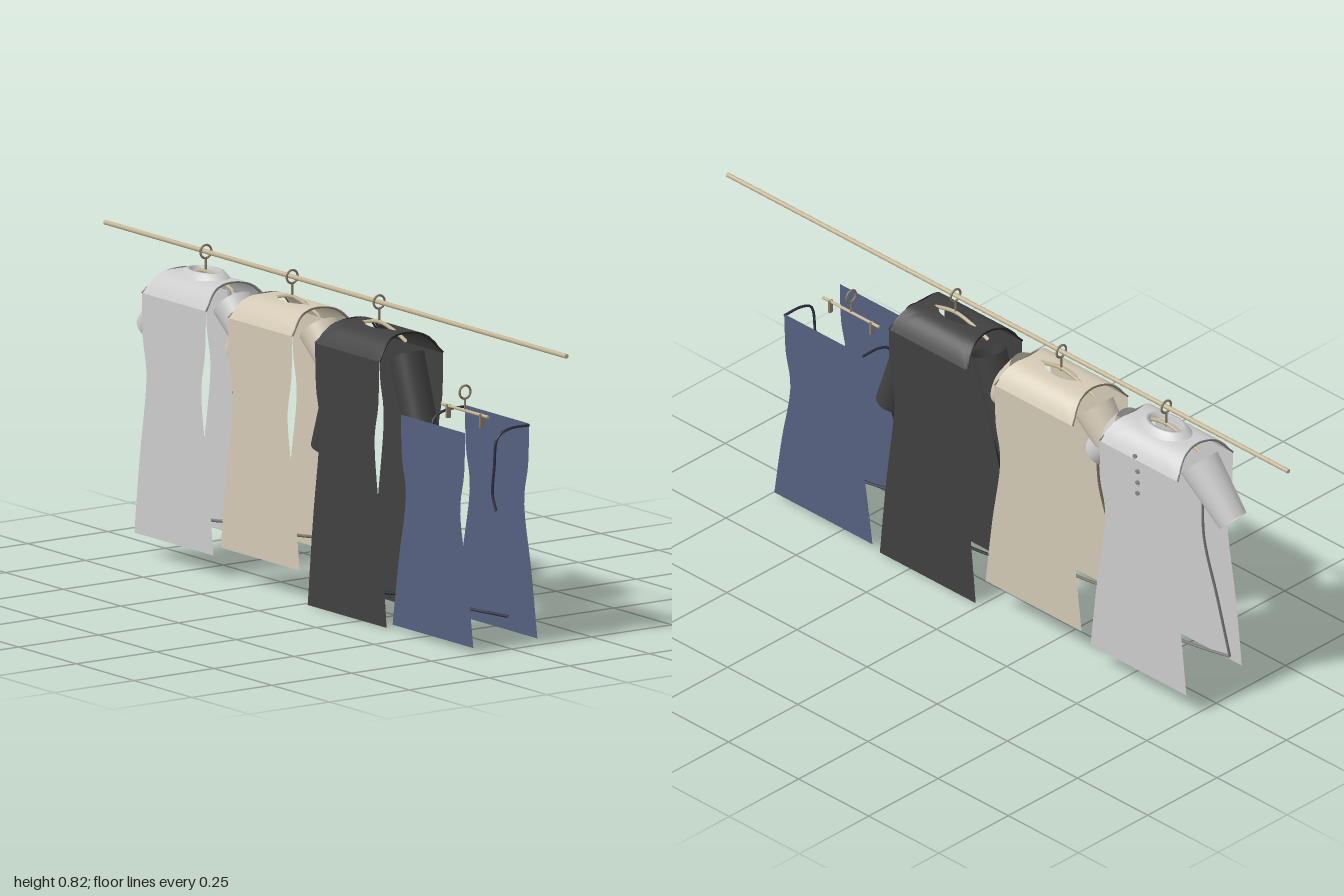
import * as THREE from 'three';

const V = (x, y, z) => new THREE.Vector3(x, y, z);
const FRONT = 0.108, BACK = -0.092, MID = 0.008;
const mat = (color) => new THREE.MeshStandardMaterial({ color, side: THREE.DoubleSide });
const wood = mat(0xc4b494), metal = mat(0x8a7d66);

function add(parent, name, geo, material, x = 0, y = 0, z = 0) {
  const m = new THREE.Mesh(geo, material);
  m.name = name;
  m.position.set(x, y, z);
  parent.add(m);
  return m;
}

function tube(points, r) {
  return new THREE.TubeGeometry(new THREE.CatmullRomCurve3(points), 32, r, 6);
}

// Flat body panel: straight top and hem, sides drawn in at the waist
function panelGeo(top, hem, waist, topHalf, waistHalf, hemHalf) {
  const side = [
    [topHalf, top], [topHalf - 0.004, top - (top - waist) * 0.5], [waistHalf, waist],
    [waistHalf + (hemHalf - waistHalf) * 0.55, waist + (hem - waist) * 0.5], [hemHalf, hem],
  ].map(([x, y]) => new THREE.Vector2(x, y));
  const right = new THREE.SplineCurve(side).getPoints(20);
  const left = right.map((p) => new THREE.Vector2(-p.x, p.y)).reverse();
  return new THREE.ShapeGeometry(new THREE.Shape([...right, ...left]));
}

// Yoke: saddle over the shoulders, lofted from an oval neck hole to a waisted rectangle
function yokeGeo() {
  const N = 64, R = 12, pos = [], idx = [];
  for (let j = 0; j <= R; j++) {
    const t = j / R;
    for (let i = 0; i <= N; i++) {
      const a = (i / N) * Math.PI * 2, c = Math.cos(a), s = Math.sin(a);
      const k = 1 / Math.max(Math.abs(c), Math.abs(s));
      const z = THREE.MathUtils.lerp(0.024 * s, 0.1 * s * k, t);
      const half = 0.112 + 0.027 * (z / 0.1) ** 2;
      const x = THREE.MathUtils.lerp(0.055 * c, half * c * k, t);
      pos.push(x, 0.742 - 0.06 * (Math.abs(z) / 0.1) ** 3.5, z + MID);
    }
  }
  for (let j = 0; j < R; j++) {
    for (let i = 0; i < N; i++) {
      const a = j * (N + 1) + i, b = a + N + 1;
      idx.push(a, a + 1, b, a + 1, b + 1, b);
    }
  }
  const g = new THREE.BufferGeometry();
  g.setAttribute('position', new THREE.Float32BufferAttribute(pos, 3));
  g.setIndex(idx);
  g.computeVertexNormals();
  return g;
}

// Open tapered sleeve between two points
function addSleeve(parent, side, end, r0, r1, material) {
  const a = V(side * 0.118, 0.688, MID), b = V(side * end[0], end[1], MID);
  const dir = b.clone().sub(a);
  const geo = new THREE.CylinderGeometry(r1, r0, dir.length(), 32, 1, true);
  const m = add(parent, side > 0 ? 'leftSleeve' : 'rightSleeve', geo, material);
  m.position.copy(a).add(b).multiplyScalar(0.5);
  m.quaternion.setFromUnitVectors(V(0, 1, 0), dir.normalize());
}

function addHook(parent, y, bottom) {
  add(parent, 'hangerRing', new THREE.TorusGeometry(0.017, 0.003, 8, 32), metal, 0, y, MID)
    .rotation.y = Math.PI / 2;
  const top = y - 0.016;
  add(parent, 'hangerStem', new THREE.CylinderGeometry(0.003, 0.003, top - bottom, 8), metal,
    0, (top + bottom) / 2, MID);
}

// Loose cord along each side and round the hem
function addSeams(parent, top, waist, hem, half, material) {
  const y = hem + 0.06;
  add(parent, 'leftSeam', tube([V(0.13, top, MID), V(0.125, waist, 0.012),
    V(0.155, (waist + y) / 2, 0.005), V(half, y + 0.02, -0.01)], 0.0035), material);
  add(parent, 'rightSeam', tube([V(-0.13, top, MID), V(-0.125, waist, 0.018),
    V(-0.155, (waist + y) / 2, 0.035), V(-half, y, 0.05)], 0.0035), material);
  add(parent, 'hemCord', tube([V(-half, y, 0.05), V(-half * 0.4, y - 0.005, 0.03),
    V(half * 0.4, y, 0.012), V(half, y + 0.02, -0.01)], 0.004), material);
}

function makeDress({ name, x, hem, color, seam, cuff, r0, r1 }) {
  const g = new THREE.Group();
  g.name = name;
  g.position.x = x;
  const cloth = mat(color), cord = mat(seam);
  const body = panelGeo(0.684, hem, 0.46, 0.139, 0.119, 0.171);
  add(g, 'frontPanel', body, cloth, 0, 0, FRONT);
  add(g, 'backPanel', body, cloth, 0, 0, BACK);
  add(g, 'yoke', yokeGeo(), cloth);
  for (const s of [-1, 1]) {
    addSleeve(g, s, cuff, r0, r1, cloth);
    // Armhole piping
    add(g, 'armholePiping', tube([V(s * 0.139, 0.684, FRONT), V(s * 0.12, 0.731, 0.062),
      V(s * 0.112, 0.742, MID), V(s * 0.12, 0.731, -0.046), V(s * 0.139, 0.684, BACK)], 0.0025), cord);
  }
  addSeams(g, 0.6, 0.46, hem, 0.185, cord);
  // Hanger
  addHook(g, 0.803, 0.745);
  add(g, 'hangerArms', tube([V(-0.115, 0.722, MID), V(-0.06, 0.741, MID), V(0, 0.752, MID),
    V(0.06, 0.741, MID), V(0.115, 0.722, MID)], 0.005), wood);
  return g;
}

// Collar and back buttons for the light dress
function addCollar(g, color) {
  const cloth = mat(color);
  const profile = [[0.052, 0.735], [0.053, 0.757], [0.064, 0.756], [0.085, 0.738]]
    .map(([r, y]) => new THREE.Vector2(r, y));
  const collar = add(g, 'collar', new THREE.LatheGeometry(profile, 40), cloth, 0, 0, MID);
  collar.scale.z = 0.6;
  add(g, 'placket', tube([V(0, 0.705, -0.062), V(0, 0.67, -0.068), V(0, 0.64, -0.085),
    V(0, 0.61, -0.087), V(0, 0.56, -0.078)], 0.006), cloth);
  for (const y of [0.705, 0.655, 0.622, 0.59]) {
    add(g, 'button', new THREE.CylinderGeometry(0.006, 0.006, 0.005, 16), mat(0x888888),
      0, y, y > 0.7 ? -0.105 : -0.096).rotation.x = Math.PI / 2;
  }
}

function makeSkirt() {
  const g = new THREE.Group();
  g.name = 'skirt';
  g.position.x = 0.559;
  const cloth = mat(0x55607f), cord = mat(0x2c3140);
  const body = panelGeo(0.564, 0.013, 0.35, 0.139, 0.118, 0.175);
  add(g, 'frontPanel', body, cloth, 0, 0, FRONT);
  add(g, 'backPanel', body, cloth, 0, 0, BACK);
  // Side cords start at the back waist corners; only the right one reaches the hem
  const start = (s) => [V(s * 0.139, 0.56, BACK), V(s * 0.139, 0.558, -0.03),
    V(s * 0.139, 0.54, 0.006), V(s * 0.132, 0.46, 0.012)];
  add(g, 'leftCord', tube([...start(1), V(0.125, 0.39, 0.012), V(0.14, 0.35, 0.012)], 0.0035), cord);
  add(g, 'rightCord', tube([...start(-1), V(-0.125, 0.36, 0.025), V(-0.15, 0.22, 0.045),
    V(-0.175, 0.085, 0.064)], 0.0035), cord);
  add(g, 'hemCord', tube([V(-0.175, 0.085, 0.064), V(-0.05, 0.08, 0.035),
    V(0.07, 0.08, 0.015), V(0.18, 0.083, 0.004)], 0.004), cord);
  // Clip hanger
  addHook(g, 0.634, 0.585);
  add(g, 'hangerBar', new THREE.CylinderGeometry(0.004, 0.004, 0.2, 10), wood, 0, 0.586, MID)
    .rotation.z = Math.PI / 2;
  for (const s of [-1, 1]) {
    add(g, 'clip', new THREE.BoxGeometry(0.006, 0.035, 0.012), metal, s * 0.073, 0.572, MID);
  }
  return g;
}

export function createModel() {
  const root = new THREE.Group();
  root.name = 'clothesRail';
  add(root, 'rail', new THREE.CylinderGeometry(0.006, 0.006, 2, 16), wood, 0, 0.803, MID)
    .rotation.z = Math.PI / 2;
  const light = makeDress({ name: 'lightDress', x: -0.564, hem: 0.057, color: 0xdddddd,
    seam: 0x777777, cuff: [0.238, 0.567], r0: 0.054, r1: 0.04 });
  addCollar(light, 0xdddddd);
  root.add(light);
  root.add(makeDress({ name: 'beigeDress', x: -0.19, hem: 0.083, color: 0xd2c8b4,
    seam: 0x77705f, cuff: [0.228, 0.567], r0: 0.054, r1: 0.04 }));
  root.add(makeDress({ name: 'darkDress', x: 0.187, hem: 0, color: 0x404040,
    seam: 0x222222, cuff: [0.226, 0.387], r0: 0.046, r1: 0.042 }));
  root.add(makeSkirt());
  return root;
}
